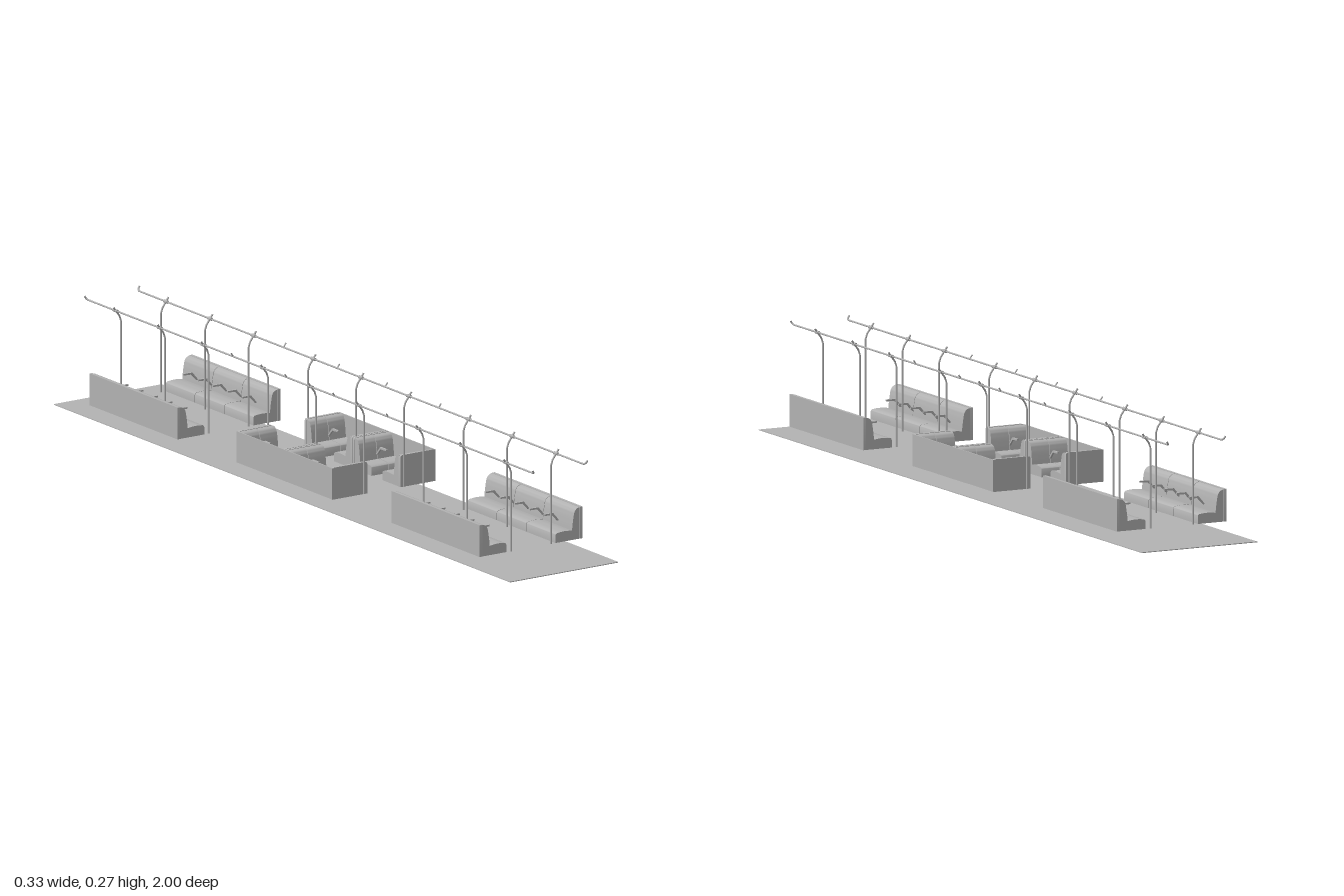
import * as THREE from 'three';
import { toCreasedNormals } from 'three/addons/utils/BufferGeometryUtils.js';

const grey = new THREE.MeshStandardMaterial({ color: 0xb2b2b2 });
grey.name = 'plain grey';

function mesh(name, geometry) {
  const m = new THREE.Mesh(geometry, grey);
  m.name = name;
  return m;
}

// Extrudes a shape along z, centred on z = 0
function slab(shape, depth, creased = true) {
  const g = new THREE.ExtrudeGeometry(shape, { depth, bevelEnabled: false, curveSegments: 6 });
  g.translate(0, 0, -depth / 2);
  return creased ? toCreasedNormals(g, 0.6) : g;
}

// Cushion section: x runs forward from the back plate, y up
function cushionShape() {
  const s = new THREE.Shape();
  s.moveTo(0.007, 0.031);
  s.lineTo(0.081, 0.031);
  s.lineTo(0.081, 0.05);
  s.quadraticCurveTo(0.08, 0.056, 0.073, 0.056);
  s.quadraticCurveTo(0.052, 0.059, 0.031, 0.055);
  s.quadraticCurveTo(0.029, 0.078, 0.025, 0.098);
  s.quadraticCurveTo(0.021, 0.112, 0.007, 0.112);
  s.closePath();
  return s;
}

function armShape() {
  const pts = [[0.028, 0.068], [0.032, 0.067], [0.048, 0.084], [0.072, 0.085],
    [0.072, 0.089], [0.046, 0.089]];
  return new THREE.Shape(pts.map(p => new THREE.Vector2(...p)));
}

// Rounded plate behind a seat
function plateShape(width, r) {
  const w = width / 2, s = new THREE.Shape();
  s.moveTo(-w, 0.031);
  s.lineTo(w, 0.031);
  s.lineTo(w, 0.113 - r);
  s.quadraticCurveTo(w, 0.113, w - r, 0.113);
  s.lineTo(-w + r, 0.113);
  s.quadraticCurveTo(-w, 0.113, -w, 0.113 - r);
  s.closePath();
  return s;
}

// A seat row facing local +x, with its width along z
function seatRow(name, width, sections, places, corner) {
  const g = new THREE.Group();
  g.name = name;
  const step = width / sections, gap = 0.0015;
  for (let i = 0; i < sections; i++) {
    const c = mesh('seatCushion', slab(cushionShape(), step - gap));
    c.position.z = -width / 2 + (i + 0.5) * step;
    g.add(c);
  }
  const back = mesh('backPlate', slab(plateShape(width, corner), 0.008));
  back.rotation.y = Math.PI / 2;
  back.position.x = 0.004;
  g.add(back);
  for (let i = 1; i < places; i++) {
    const arm = mesh('armrest', slab(armShape(), 0.005, false));
    arm.position.z = -width / 2 + i * width / places;
    g.add(arm);
  }
  return g;
}

function tube(name, points, radius, smooth = false) {
  const v = points.map(p => new THREE.Vector3(...p));
  let path;
  if (smooth) path = new THREE.CatmullRomCurve3(v);
  else {
    path = new THREE.CurvePath();
    for (let i = 1; i < v.length; i++) path.add(new THREE.LineCurve3(v[i - 1], v[i]));
  }
  const g = new THREE.TubeGeometry(path, smooth ? 24 : 16, radius, 8);
  return mesh(name, g);
}

export function createModel() {
  const model = new THREE.Group();
  model.name = 'carriageInterior';

  const floor = mesh('floor', new THREE.BoxGeometry(0.326, 0.002, 2));
  floor.position.y = 0.001;
  model.add(floor);

  for (const side of [-1, 1]) {
    // Long benches along the walls
    for (const z of [-0.662, 0.662]) {
      const bench = seatRow('longBench', 0.386, 3, 6, 0.001);
      bench.position.set(side * 0.155, 0, z);
      if (side > 0) bench.rotation.y = Math.PI;
      model.add(bench);
    }

    // Facing pairs of cross seats in two bays
    for (const [z, dir] of [[-0.21, 1], [-0.001, -1], [0.001, 1], [0.21, -1]]) {
      const seat = seatRow('crossSeat', 0.105, 2, 2, 0.007);
      seat.position.set(side * 0.1025, 0, z);
      seat.rotation.y = -dir * Math.PI / 2;
      model.add(seat);
    }
    const wall = mesh('sidePanel', new THREE.BoxGeometry(0.003, 0.08, 0.42));
    wall.position.set(side * 0.1545, 0.072, 0);
    model.add(wall);

    // Upright poles, bent outward at the top
    for (const z of [-0.855, -0.662, -0.471, -0.21, 0, 0.21, 0.471, 0.662, 0.855]) {
      model.add(tube('pole', [[side * 0.06, 0.031, z], [side * 0.06, 0.241, z],
        [side * 0.083, 0.272, z]], 0.0024));
      const clamp = mesh('railClamp', new THREE.CylinderGeometry(0.0042, 0.0042, 0.016, 10));
      clamp.rotation.x = Math.PI / 2;
      clamp.position.set(side * 0.0755, 0.262, z);
      model.add(clamp);
    }

    // Overhead rail with turned-up ends
    const rx = side * 0.0755;
    const rail = mesh('handRail', new THREE.CylinderGeometry(0.0024, 0.0024, 1.94, 8));
    rail.rotation.x = Math.PI / 2;
    rail.position.set(rx, 0.262, 0);
    model.add(rail);
    for (const end of [-1, 1]) {
      model.add(tube('railEnd', [[rx, 0.262, end * 0.965], [rx + side * 0.001, 0.2625, end * 0.976],
        [rx + side * 0.004, 0.2665, end * 0.981], [side * 0.083, 0.272, end * 0.982]], 0.0024, true));
    }

    // Short rail brackets between poles
    for (const z of [-0.34, -0.105, 0.105, 0.34]) {
      model.add(tube('railBracket', [[rx, 0.262, z], [side * 0.083, 0.272, z]], 0.0018));
    }
  }
  return model;
}
